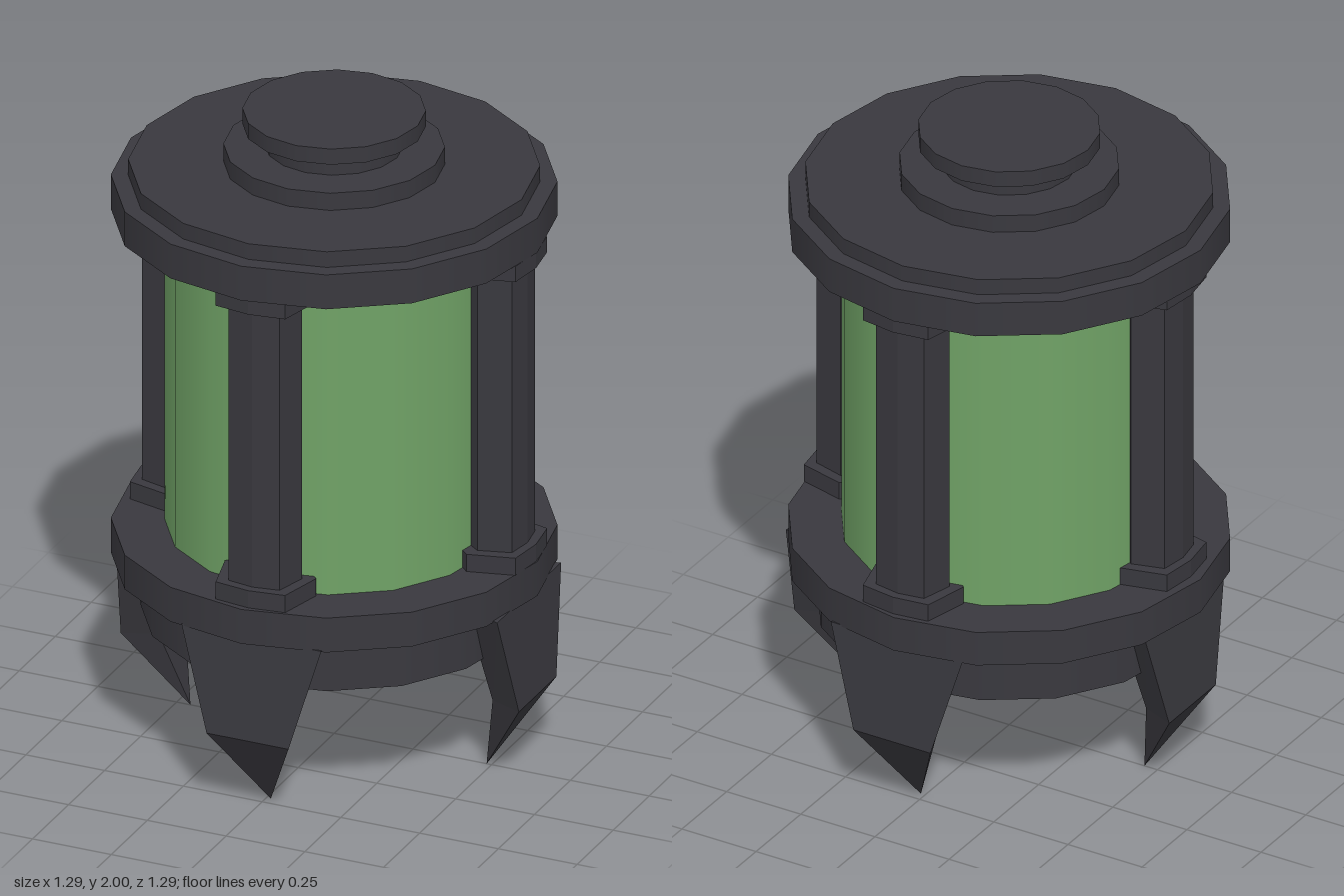
import * as THREE from 'three';
import { ConvexGeometry } from 'three/addons/geometries/ConvexGeometry.js';

export function createModel() {
  const darkMetal = new THREE.MeshStandardMaterial({ color: 0x39383e });
  darkMetal.name = 'darkMetal';
  const greenGlass = new THREE.MeshStandardMaterial({ color: 0x70a266 });
  greenGlass.name = 'greenGlass';

  const model = new THREE.Group();
  model.name = 'canister';

  const add = (parent, name, geometry, material = darkMetal) => {
    const mesh = new THREE.Mesh(geometry, material);
    mesh.name = name;
    parent.add(mesh);
    return mesh;
  };

  // Stacked sixteen-sided drums: name, radius, bottom, top
  const drums = [
    ['baseDrum', 0.56, 0.405, 0.575],
    ['lowerRing', 0.645, 0.57, 0.68],
    ['glassTank', 0.49, 0.68, 1.67, greenGlass],
    ['upperRing', 0.645, 1.67, 1.78],
    ['lidPlate', 0.595, 1.78, 1.83],
    ['lidStep', 0.32, 1.83, 1.885],
    ['capNeck', 0.2, 1.885, 1.95],
    ['cap', 0.265, 1.95, 2.0],
  ];
  for (const [name, r, y0, y1, material] of drums) {
    add(model, name, new THREE.CylinderGeometry(r, r, y1 - y0, 16), material)
      .position.y = (y0 + y1) / 2;
  }

  // Upright prism standing on the tank wall, with a slightly bowed outer face
  const post = (inner, corner, outer, halfIn, halfOut, y0, y1) => {
    const shape = new THREE.Shape([
      [-halfIn, inner], [-halfOut, corner], [0, outer], [halfOut, corner], [halfIn, inner],
      [halfIn * 0.6, inner - 0.06], [-halfIn * 0.6, inner - 0.06],
    ].map(([x, r]) => new THREE.Vector2(x, -r)));
    return new THREE.ExtrudeGeometry(shape, { depth: y1 - y0, bevelEnabled: false })
      .rotateX(-Math.PI / 2).translate(0, y0, 0);
  };
  const columnGeometry = post(0.49, 0.587, 0.6, 0.108, 0.081, 0.68, 1.67);
  const footGeometry = post(0.472, 0.612, 0.627, 0.145, 0.11, 0.68, 0.735);
  const headGeometry = post(0.472, 0.612, 0.627, 0.145, 0.11, 1.62, 1.67);

  // Claw leg: tapering upper block and a pointed lower spike
  const section = (y, outer, halfOuter, inner, halfInner) => [
    new THREE.Vector3(-halfOuter, y, outer), new THREE.Vector3(halfOuter, y, outer),
    new THREE.Vector3(-halfInner, y, inner), new THREE.Vector3(halfInner, y, inner),
  ];
  const hip = section(0.575, 0.605, 0.222, 0.48, 0.17);
  const knee = section(0.255, 0.632, 0.13, 0.53, 0.09);
  const tip = new THREE.Vector3(0, 0, 0.47);
  const upperLegGeometry = new ConvexGeometry([...hip, ...knee]);
  const spikeGeometry = new ConvexGeometry([...knee, tip]);

  // Four columns and legs around the body
  const frame = new THREE.Group();
  frame.name = 'frame';
  frame.position.x = 0.014;
  model.add(frame);
  for (let i = 0; i < 4; i++) {
    const side = new THREE.Group();
    side.name = 'frameSide' + (i + 1);
    side.rotation.y = i * Math.PI / 2;
    add(side, 'column', columnGeometry);
    add(side, 'columnFoot', footGeometry);
    add(side, 'columnHead', headGeometry);
    add(side, 'upperLeg', upperLegGeometry);
    add(side, 'legSpike', spikeGeometry);
    frame.add(side);
  }
  return model;
}
